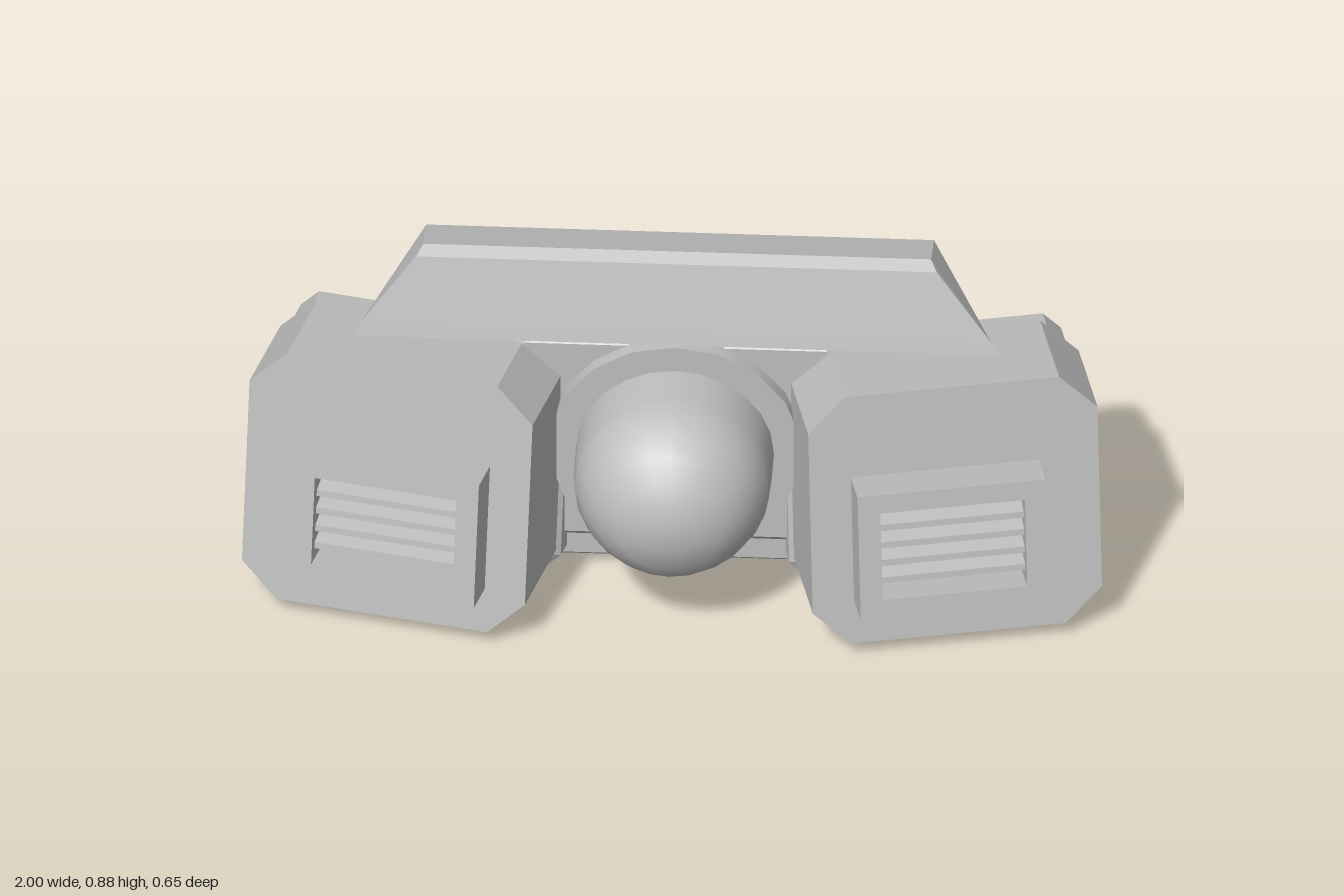
import * as THREE from 'three';

const gray = new THREE.MeshStandardMaterial({ color: 0xbfbfbf });
gray.name = 'plain gray';

function part(parent, name, geometry, x = 0, y = 0, z = 0) {
  const mesh = new THREE.Mesh(geometry, gray);
  mesh.name = name;
  mesh.position.set(x, y, z);
  parent.add(mesh);
  return mesh;
}

// rectangle with cut corners
function cutRect(w, h, c) {
  const a = w / 2, b = h / 2;
  return new THREE.Shape([
    [-a + c, -b], [a - c, -b], [a, -b + c], [a, b - c],
    [a - c, b], [-a + c, b], [-a, b - c], [-a, -b + c],
  ].map(p => new THREE.Vector2(...p)));
}

// slab with cut corners and bevelled front and back edges, centred on its middle
function slab(w, h, d, c, bevel) {
  const g = new THREE.ExtrudeGeometry(cutRect(w - 2 * bevel, h - 2 * bevel, c), {
    depth: d - 2 * bevel, bevelEnabled: bevel > 0,
    bevelThickness: bevel, bevelSize: bevel, bevelSegments: 1,
  });
  return g.translate(0, 0, -d / 2 + bevel);
}

// rectangular frame around an opening
function frame(w, h, ow, oh, depth) {
  const shape = cutRect(w, h, 0.001);
  const a = ow / 2, b = oh / 2;
  shape.holes.push(new THREE.Path([[-a, -b], [-a, b], [a, b], [a, -b]].map(p => new THREE.Vector2(...p))));
  return new THREE.ExtrudeGeometry(shape, { depth, bevelEnabled: false });
}

// louvre blade: thick at the back, thin at the front, running along x
function blade(width) {
  const shape = new THREE.Shape([[0, -0.02], [0.075, -0.011], [0.075, 0.005], [0, 0.026]]
    .map(p => new THREE.Vector2(...p)));
  const g = new THREE.ExtrudeGeometry(shape, { depth: width, bevelEnabled: false });
  return g.rotateY(-Math.PI / 2).translate(width / 2, 0, 0);
}

// brow: closed loft between two mirrored outlines of [z, y, half width]
function browGeometry() {
  const outline = [
    [-0.048, 0.693, 0.735], [-0.097, 0.857, 0.605], [-0.127, 0.872, 0.59],
    [-0.256, 0.832, 0.59], [-0.268, 0.8, 0.6], [-0.194, 0.645, 0.66], [-0.04, 0.665, 0.75],
  ];
  const L = outline.map(([z, y, w]) => [-w, y, z]);
  const R = outline.map(([z, y, w]) => [w, y, z]);
  const n = outline.length, pos = [];
  for (let i = 0; i < n; i++) {
    const j = (i + 1) % n;
    pos.push(...L[i], ...R[i], ...R[j], ...L[i], ...R[j], ...L[j]);
    if (i > 0 && i < n - 1) {
      pos.push(...R[0], ...R[i + 1], ...R[i]);
      pos.push(...L[0], ...L[i], ...L[i + 1]);
    }
  }
  const g = new THREE.BufferGeometry();
  g.setAttribute('position', new THREE.Float32BufferAttribute(pos, 3));
  g.computeVertexNormals();
  return g;
}

// side pod with louvred vent, rear plate and bolt; s is the side
function sidePod(s) {
  const pod = new THREE.Group();
  pod.name = s > 0 ? 'leftPod' : 'rightPod';
  pod.position.set(0.66 * s, 0.352, 0.146);
  pod.rotation.set(-0.145, 0.21 * s, 0, 'YXZ');

  part(pod, 'podBody', slab(0.68, 0.65, 0.28, 0.088, 0), 0, 0, -0.14);

  const vx = -0.02 * s, vy = -0.05;
  part(pod, 'ventFrame', frame(0.445, 0.325, 0.34, 0.228, 0.12), vx, vy, -0.02);
  for (let i = 0; i < 4; i++) part(pod, 'ventBlade', blade(0.34), vx, vy + 0.065 - i * 0.046, 0);

  part(pod, 'rearPlate', slab(0.66, 0.6, 0.1, 0.03, 0.02), -0.02 * s, 0.005, -0.32);
  const washer = part(pod, 'boltWasher', new THREE.CylinderGeometry(0.058, 0.058, 0.03, 20), 0.22 * s, -0.16, -0.375);
  washer.rotation.x = Math.PI / 2;
  const bolt = part(pod, 'boltHead', new THREE.CylinderGeometry(0.036, 0.036, 0.02, 6), 0.22 * s, -0.16, -0.394);
  bolt.rotation.x = Math.PI / 2;
  return pod;
}

export function createModel() {
  const model = new THREE.Group();
  model.name = 'headUnit';

  model.add(sidePod(1), sidePod(-1));

  // middle body, lower ledges and rear pack
  part(model, 'middleBody', slab(0.8, 0.58, 0.18, 0.03, 0.02), 0, 0.375, -0.15);
  part(model, 'lowerLedge', slab(0.8, 0.09, 0.14, 0.02, 0.01), 0, 0.065, -0.15);
  part(model, 'rearPack', slab(0.88, 0.7, 0.14, 0.03, 0.028), 0, 0.35, -0.26);

  // brow over the top
  part(model, 'brow', browGeometry());

  // lens collar and pointed dome
  const collar = part(model, 'lensCollar', new THREE.CylinderGeometry(0.295, 0.295, 0.05, 18), 0, 0.375, -0.05);
  collar.rotation.x = Math.PI / 2;
  const profile = [
    [0.23, -0.05], [0.23, 0.08], [0.225, 0.135], [0.205, 0.185], [0.172, 0.235],
    [0.125, 0.275], [0.07, 0.296], [0.03, 0.304], [0, 0.305],
  ].map(p => new THREE.Vector2(...p));
  const dome = part(model, 'lensDome', new THREE.LatheGeometry(profile, 24), 0, 0.372, 0);
  dome.rotation.x = Math.PI / 2;

  return model;
}
